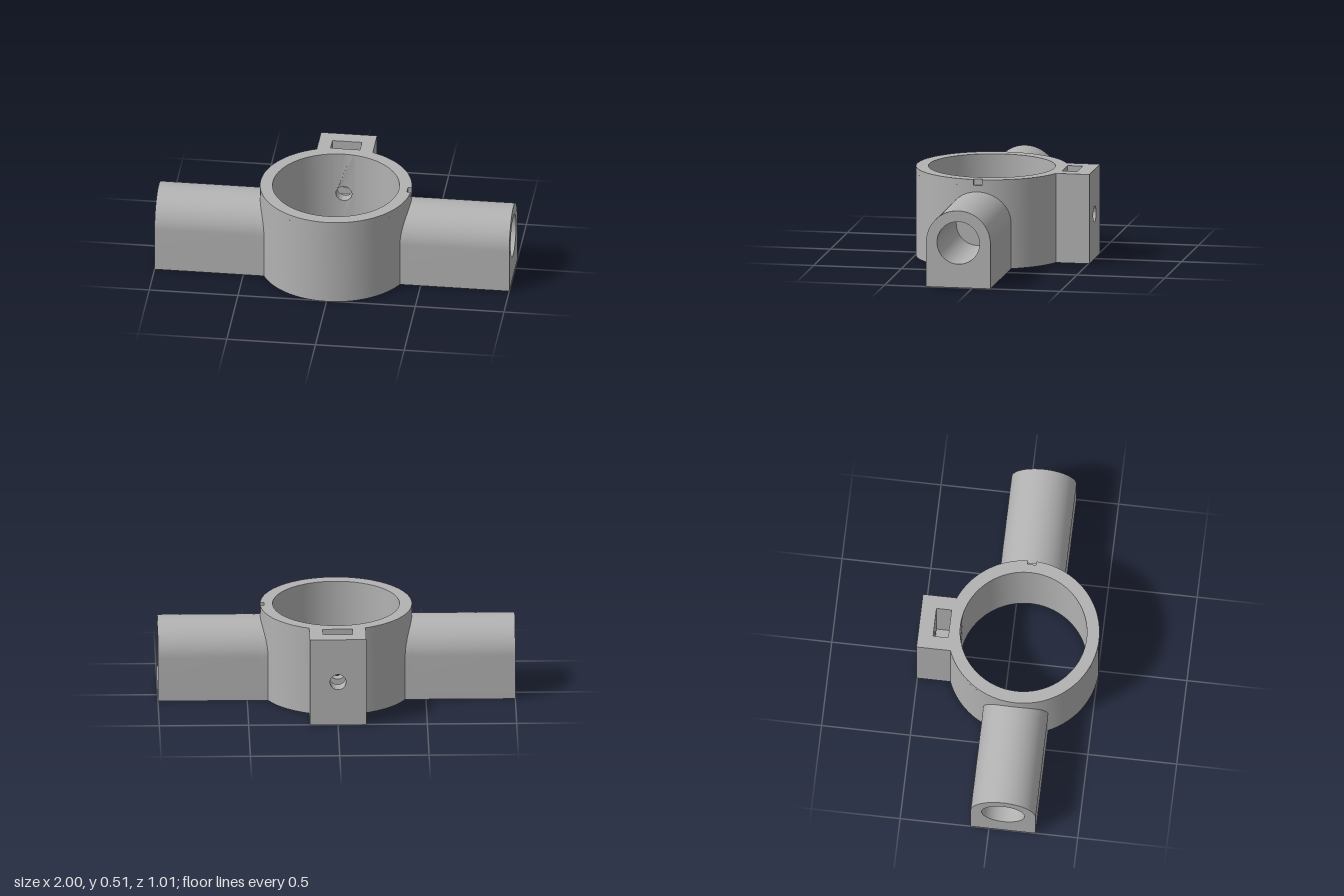
import * as THREE from 'three';
import { toCreasedNormals } from 'three/addons/utils/BufferGeometryUtils.js';

const H = 0.508;            // overall height
const CZ = 0.08;            // ring centre in z
const R = 0.425, RI = 0.355; // ring radii
const AXIS = 0.255;         // height of the bores
const BW = 0.158;           // half width of the clamp block
const GAP = 0.06;           // half width of the wall panel holding the bolt hole
const BOLT = 0.045;
const SLOT_FRONT = -0.335, SLOT_BACK = -0.42, BACK = -0.505;
const SLOT_W = 0.083, SLOT_FLOOR = 0.17;

const v = (x, y) => new THREE.Vector2(x, y);

function arc(r, from, to, n) {
  return Array.from({ length: n + 1 }, (_, i) => {
    const a = from + (to - from) * i / n;
    return v(r * Math.cos(a), r * Math.sin(a));
  });
}

function extrude(points, depth, hole) {
  const shape = new THREE.Shape(points);
  if (hole) shape.holes.push(new THREE.Path(hole));
  return new THREE.ExtrudeGeometry(shape, { depth, bevelEnabled: false });
}

const circle = (r, y, n) => arc(r, 0, -2 * Math.PI, n).slice(0, -1).map(p => v(p.x, p.y + y));

// Plan of the ring, open at the back where the bolt panel sits
function ringPlan(notched) {
  const a = Math.acos(BW / R), b = Math.acos(GAP / RI);
  const n = Math.asin(0.024 / R);
  const outer = notched
    ? [...arc(R, a, n, 24), v(0.403, 0.024), v(0.403, -0.024), ...arc(R, -n, -Math.PI - a, 80)]
    : arc(R, a, -Math.PI - a, 104);
  const back = CZ - SLOT_FRONT;
  return [...outer, v(-BW, back), v(-GAP, back),
    ...arc(RI, -Math.PI - b, b, 104), v(GAP, back), v(BW, back)];
}

export function createModel() {
  const group = new THREE.Group();
  group.name = 'clampRing';
  const grey = new THREE.MeshStandardMaterial({ color: 0xb2b2b2 });
  grey.name = 'grey';

  const add = (name, geometry, parent = group) => {
    const mesh = new THREE.Mesh(toCreasedNormals(geometry, 0.5), grey);
    mesh.name = name;
    parent.add(mesh);
    return mesh;
  };

  // Ring: plain body and a thin rim layer with the index notch
  const notchFloor = 0.474;
  for (const [name, y, h, notched] of [
    ['ringBody', 0, notchFloor, false],
    ['notchedRim', notchFloor, H - notchFloor, true]]) {
    const g = extrude(ringPlan(notched), h);
    g.rotateX(-Math.PI / 2);
    g.translate(0, y, CZ);
    add(name, g);
  }

  // Bolt panel: drilled plate whose inner face follows the ring bore
  const outline = [];
  for (let i = 0; i <= 8; i++) outline.push(v(-GAP + GAP * i / 4, 0));
  for (let i = 8; i >= 0; i--) outline.push(v(-GAP + GAP * i / 4, H));
  const panel = extrude(outline, 1, circle(BOLT, AXIS, 40));
  const pos = panel.attributes.position;
  for (let i = 0; i < pos.count; i++) {
    const x = pos.getX(i);
    pos.setZ(i, pos.getZ(i) > 0.5 ? CZ - Math.sqrt(RI * RI - x * x) : SLOT_FRONT);
  }
  add('boltPanel', panel);

  // Clamp block: slotted middle for the nut, drilled back plate
  const slotted = [v(-BW, 0), v(BW, 0), v(BW, H), v(SLOT_W, H), v(SLOT_W, SLOT_FLOOR),
    v(-SLOT_W, SLOT_FLOOR), v(-SLOT_W, H), v(-BW, H)];
  add('nutSlot', extrude(slotted, SLOT_FRONT - SLOT_BACK).translate(0, 0, SLOT_BACK));
  const plate = [v(-BW, 0), v(BW, 0), v(BW, H), v(-BW, H)];
  add('blockBack', extrude(plate, SLOT_BACK - BACK, circle(BOLT, AXIS, 40)).translate(0, 0, BACK));

  // Arms: round-topped sockets with a blind bore
  const w = 0.183, root = 0.37, boreEnd = 0.43;
  const profile = [v(-w, 0), v(w, 0), ...arc(w, 0, Math.PI, 40).map(p => v(p.x, p.y + AXIS))];
  for (const [side, s] of [['left', 1], ['right', -1]]) {
    const arm = new THREE.Group();
    arm.name = side + 'Arm';
    add(side + 'ArmRoot', extrude(profile, boreEnd - root).translate(0, 0, root), arm);
    add(side + 'ArmSocket',
      extrude(profile, 1 - boreEnd, circle(0.121, AXIS, 56)).translate(0, 0, boreEnd), arm);
    arm.rotation.y = s * Math.PI / 2;
    arm.position.z = CZ;
    group.add(arm);
  }
  return group;
}
